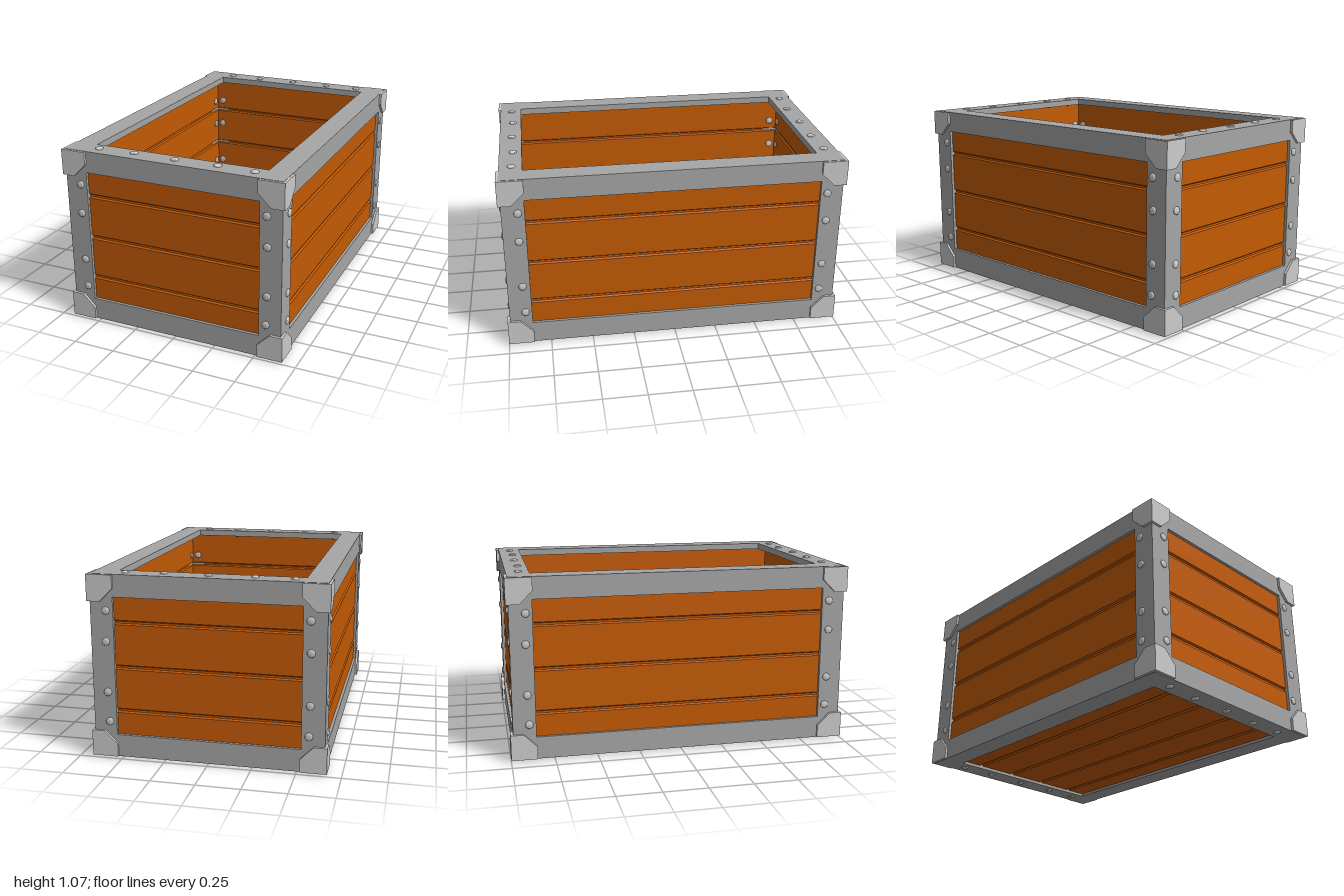
import * as THREE from 'three';

const X = 0.657, Z = 0.985, Y0 = 0.01, Y1 = 1.064; // outer faces of the frame
const T = 0.04;                                     // frame thickness
const OX = 0.526, OZ = 0.853, OY0 = 0.14, OY1 = 0.937; // openings
const IX = 0.61, IZ = 0.938, IY = 0.057;            // inner faces of the boards

const metal = new THREE.MeshStandardMaterial({ color: 0xa6a6a6 });
const steel = new THREE.MeshStandardMaterial({ color: 0xcccccc });
const wood = new THREE.MeshStandardMaterial({ color: 0xc45b04 });

function add(parent, name, geometry, material, x = 0, y = 0, z = 0) {
  const mesh = new THREE.Mesh(geometry, material);
  mesh.name = name;
  mesh.position.set(x, y, z);
  parent.add(mesh);
  return mesh;
}

const poly = (pts) => new THREE.Shape(pts.map(([a, b]) => new THREE.Vector2(a, b)));
const rect = (a0, b0, a1, b1) => [[a0, b0], [a1, b0], [a1, b1], [a0, b1]];

// Extrusion with its depth centred on z = 0
const slab = (shape, depth) =>
  new THREE.ExtrudeGeometry(shape, { depth, bevelEnabled: false }).translate(0, 0, -depth / 2);

// Flat frame with a rectangular opening
function frameGeometry(outer, hole) {
  const shape = poly(rect(...outer));
  shape.holes.push(poly(rect(...hole)));
  return slab(shape, T);
}

// Boarded panel: thickness along x, boards stacked along y, length along z,
// with a chamfered groove on both faces at every joint
function boards(y0, y1, joints, length) {
  const h = 0.015, d = 0.01, w = 0.013;
  const right = [[h, y0]];
  for (const j of joints) right.push([h, j - w], [h - d, j - w * 0.45], [h - d, j + w * 0.45], [h, j + w]);
  right.push([h, y1]);
  const left = right.map(([x, y]) => [-x, y]).reverse();
  return slab(poly([...right, ...left]), length);
}

// Corner cap plate: a square reaching inward from the crate's corner, its far
// corner clipped; su and sv point from the corner towards the middle
const CAP = 0.15, CLIP = 0.075, PLATE = 0.02;
const capPlate = (su, sv) => slab(
  poly([[0, 0], [CAP, 0], [CAP, CLIP], [CLIP, CAP], [0, CAP]].map(([u, v]) => [su * u, sv * v])), PLATE);

// Low domed rivet head, standing on y = 0
const rivetGeometry = new THREE.LatheGeometry(
  [[0.0225, -0.004], [0.0225, 0.005], [0.019, 0.008], [0.011, 0.0098], [0, 0.0105]]
    .map(([r, y]) => new THREE.Vector2(r, y)), 16);

function addRivet(parent, position, normal) {
  const rivet = add(parent, 'rivet', rivetGeometry, steel, ...position);
  rivet.quaternion.setFromUnitVectors(new THREE.Vector3(0, 1, 0), new THREE.Vector3(...normal));
}

export function createModel() {
  const model = new THREE.Group();
  model.name = 'openCrate';
  const group = (name) => {
    const g = new THREE.Group();
    g.name = name;
    model.add(g);
    return g;
  };

  // Metal frame: rims at top and bottom, then the four upright faces
  const frame = group('frame');
  const rim = frameGeometry([-X, -Z, X, Z], [-OX, -OZ, OX, OZ]).rotateX(-Math.PI / 2);
  add(frame, 'topRim', rim, metal, 0, Y1 - T / 2, 0);
  add(frame, 'bottomRim', rim, metal, 0, Y0 + T / 2, 0);
  const end = frameGeometry([-X, Y0 + T, X, Y1 - T], [-OX, OY0, OX, OY1]);
  const side = frameGeometry([-Z + T, Y0 + T, Z - T, Y1 - T], [-OZ, OY0, OZ, OY1]).rotateY(Math.PI / 2);
  for (const s of [1, -1]) {
    add(frame, s > 0 ? 'frontFrame' : 'backFrame', end, metal, 0, 0, s * (Z - T / 2));
    add(frame, s > 0 ? 'leftFrame' : 'rightFrame', side, metal, s * (X - T / 2), 0, 0);
  }

  // Wooden walls and floor
  const panels = group('woodPanels');
  const wallJoints = [0.28, 0.535, 0.792];
  const sideWall = boards(Y0 + T, Y1 - T, wallJoints, 2 * IZ + 0.04);
  const endWall = boards(Y0 + T, Y1 - T, wallJoints, 2 * IX + 0.04).rotateY(Math.PI / 2);
  for (const s of [1, -1]) {
    add(panels, s > 0 ? 'leftWall' : 'rightWall', sideWall, wood, s * (IX + 0.015), 0, 0);
    add(panels, s > 0 ? 'frontWall' : 'backWall', endWall, wood, 0, 0, s * (IZ + 0.015));
  }
  const floor = boards(-IX - 0.02, IX + 0.02, [-0.386, -0.13, 0.125, 0.381], 2 * IZ + 0.04).rotateZ(Math.PI / 2);
  add(panels, 'floor', floor, wood, 0, IY - 0.015, 0);

  // Corner caps: an end plate and a side plate on each of the eight corners
  const caps = group('cornerCaps');
  for (const sx of [1, -1]) for (const sz of [1, -1]) for (const sy of [1, -1]) {
    const cap = new THREE.Group();
    cap.name = sy > 0 ? 'topCornerCap' : 'bottomCornerCap';
    cap.position.set(sx * 0.671, sy > 0 ? Y1 - 0.002 : Y0 + 0.002, sz);
    caps.add(cap);
    add(cap, 'endPlate', capPlate(-sx, -sy), steel, 0, 0, -sz * PLATE / 2);
    add(cap, 'sidePlate', capPlate(-sz, -sy).rotateY(-Math.PI / 2), steel, -sx * PLATE / 2, 0, 0);
  }

  // Rivets on the uprights, outside and inside
  const rivets = group('rivets');
  for (const [y, inset] of [[0.217, 0], [0.391, 0.005], [0.684, 0.005], [0.86, 0]]) {
    for (const sx of [1, -1]) for (const sz of [1, -1]) {
      const x = sx * (0.567 + inset), z = sz * (0.892 + inset);
      addRivet(rivets, [x, y, sz * Z], [0, 0, sz]);
      addRivet(rivets, [x, y, sz * IZ], [0, 0, -sz]);
      addRivet(rivets, [sx * X, y, z], [sx, 0, 0]);
      addRivet(rivets, [sx * IX, y, z], [-sx, 0, 0]);
    }
  }
  // Rivets along the short sides of both rims
  for (const [x, z] of [[-0.473, 0.914], [-0.255, 0.905], [0, 0.912], [0.253, 0.905], [0.47, 0.914]]) {
    for (const sz of [1, -1]) {
      addRivet(rivets, [x, Y1, sz * z], [0, 1, 0]);
      addRivet(rivets, [x, Y1 - T, sz * z], [0, -1, 0]);
      addRivet(rivets, [x, Y0, sz * z], [0, -1, 0]);
      addRivet(rivets, [x, IY, sz * z], [0, 1, 0]);
    }
  }
  return model;
}
